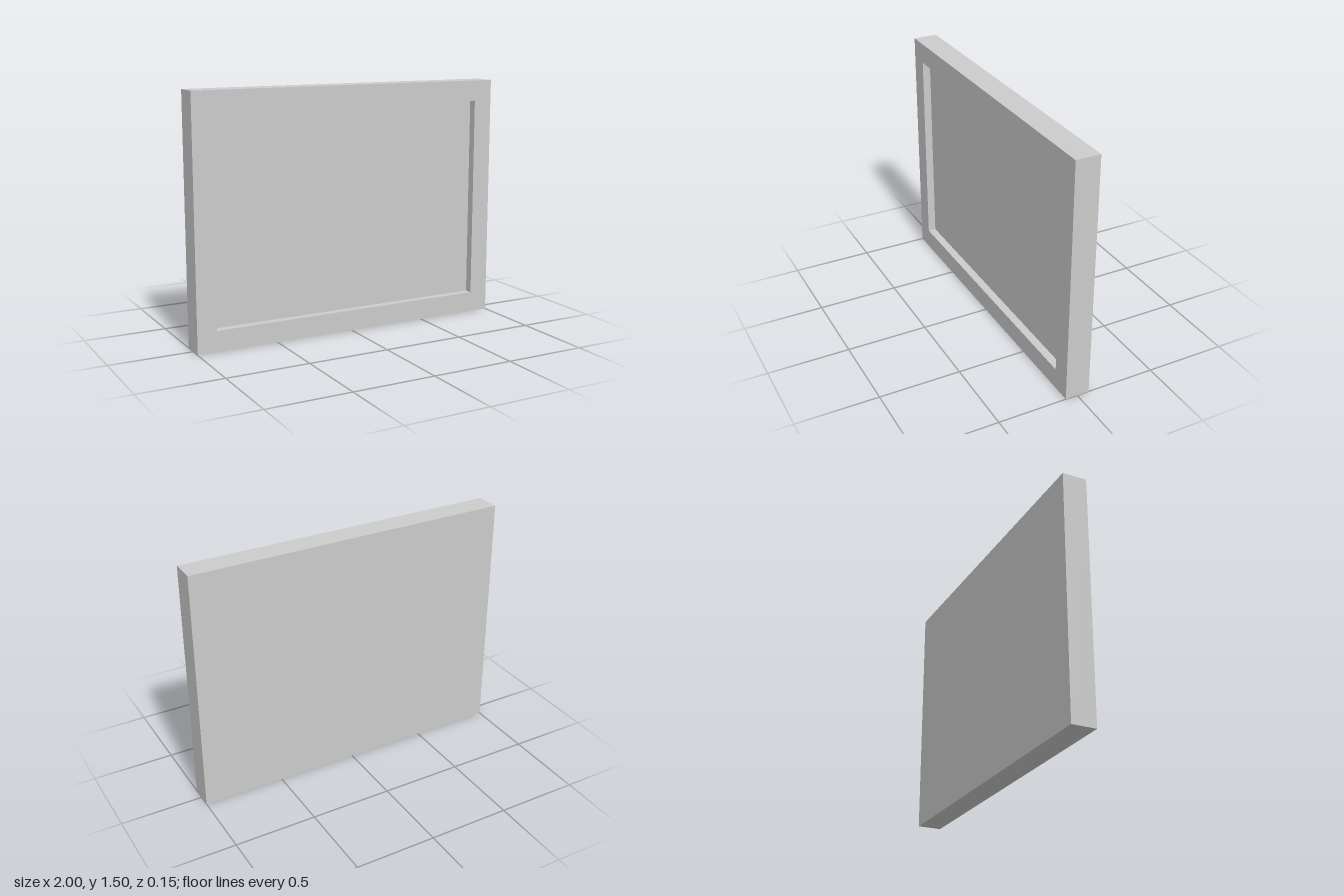
import * as THREE from 'three';

const W = 2, H = 1.5, D = 0.15;            // outer size
const OPEN_W = 1.76, OPEN_H = 1.246;       // opening in the frame
const RECESS = 0.05;                       // depth of the panel behind the frame front

function rectPoints(w, h) {
  return [[-w, -h], [w, -h], [w, h], [-w, h]].map(([x, y]) => new THREE.Vector2(x / 2, y / 2));
}

export function createModel() {
  const group = new THREE.Group();
  group.name = 'framedBoard';
  const material = new THREE.MeshStandardMaterial({ color: 0xcccccc });

  // Rectangular border, full depth
  const outline = new THREE.Shape(rectPoints(W, H));
  outline.holes.push(new THREE.Path(rectPoints(OPEN_W, OPEN_H).reverse()));
  const frame = new THREE.Mesh(
    new THREE.ExtrudeGeometry(outline, { depth: D, bevelEnabled: false }), material);
  frame.name = 'frame';
  frame.position.set(0, H / 2, -D / 2);
  group.add(frame);

  // Panel filling the opening, flush with the back and recessed at the front
  const panel = new THREE.Mesh(new THREE.BoxGeometry(OPEN_W, OPEN_H, D - RECESS), material);
  panel.name = 'panel';
  panel.position.set(0, H / 2, -RECESS / 2);
  group.add(panel);

  return group;
}
